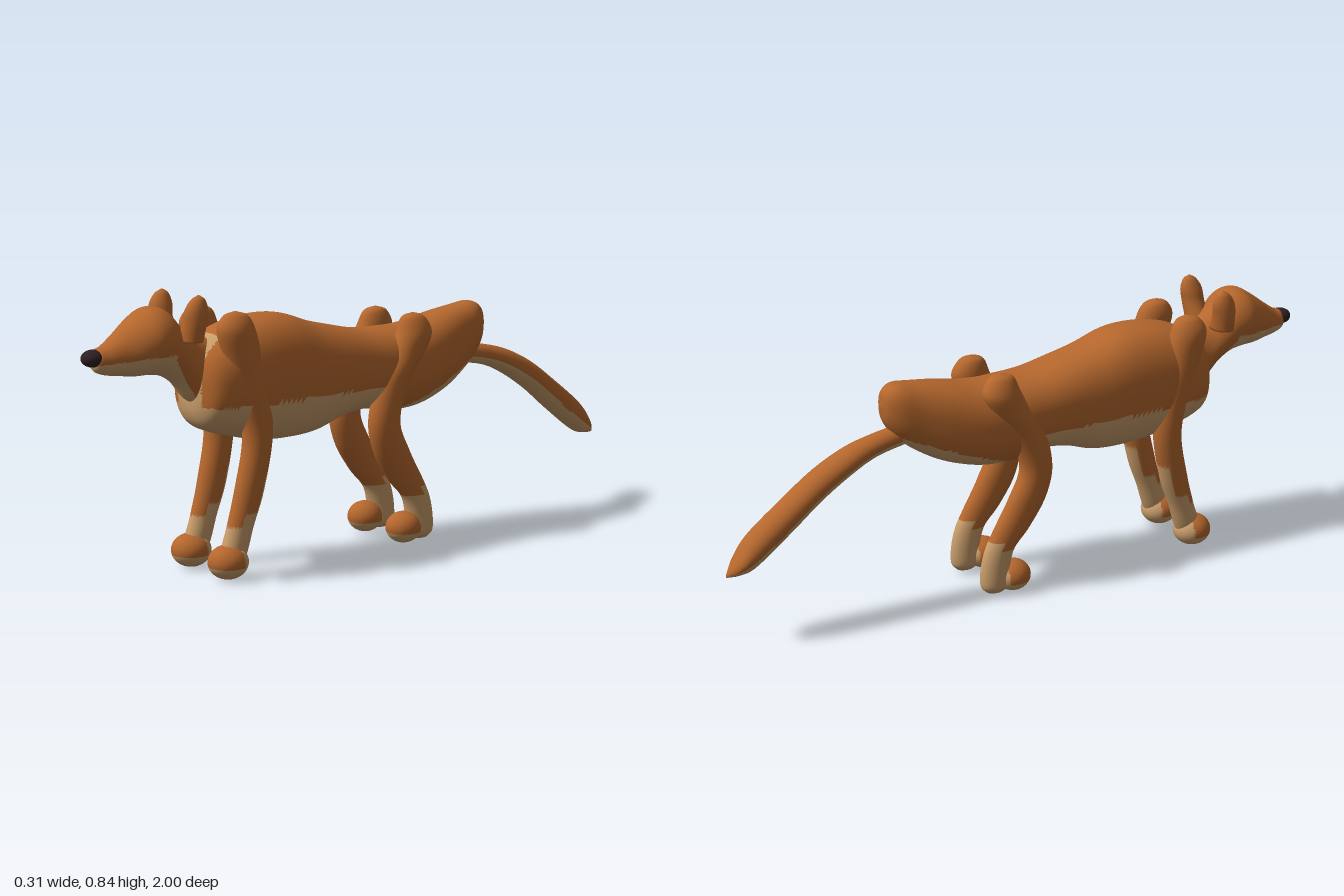
import * as THREE from 'three';

const material = (name, color) => {
  const m = new THREE.MeshStandardMaterial({ color });
  m.name = name;
  return m;
};

// Smooth skin through elliptical rings [x, y, z, radiusX, radiusOther], listed along +z or +y.
function loft(rows, axis, power = 2, steps = 90, sides = 64) {
  const centres = new THREE.CatmullRomCurve3(rows.map(r => new THREE.Vector3(r[0], r[1], r[2])), false, 'catmullrom', 0.5);
  const radii = new THREE.CatmullRomCurve3(rows.map(r => new THREE.Vector3(r[3], r[4], 0)), false, 'catmullrom', 0.5);
  const bend = v => Math.sign(v) * Math.abs(v) ** (2 / power);
  const pos = [], index = [];
  for (let i = 0; i <= steps; i++) {
    const c = centres.getPoint(i / steps), r = radii.getPoint(i / steps);
    for (let j = 0; j < sides; j++) {
      const a = j / sides * Math.PI * 2;
      const u = bend(Math.cos(a)) * Math.max(r.x, 0.001);
      const v = bend(Math.sin(a)) * Math.max(r.y, 0.001);
      if (axis === 'z') pos.push(c.x + u, c.y + v, c.z);
      else pos.push(c.x + u, c.y, c.z - v);
      if (i < steps) {
        const p = i * sides + j, q = i * sides + (j + 1) % sides;
        index.push(p, q, p + sides, q, q + sides, p + sides);
      }
    }
  }
  // close both ends
  const first = rows[0], last = rows[rows.length - 1], n = (steps + 1) * sides;
  pos.push(...first.slice(0, 3), ...last.slice(0, 3));
  for (let j = 0; j < sides; j++) {
    const k = (j + 1) % sides, top = steps * sides;
    index.push(n, k, j, n + 1, top + j, top + k);
  }
  const g = new THREE.BufferGeometry();
  g.setAttribute('position', new THREE.Float32BufferAttribute(pos, 3));
  g.setIndex(index);
  g.computeVertexNormals();
  return g;
}

function ellipsoid(x, y, z, rx, ry, rz) {
  return new THREE.SphereGeometry(1, 40, 28).scale(rx, ry, rz).translate(x, y, z);
}

// Sort the faces into two groups: fur where the rule is false, pale fur where it is true.
function paint(g, isPale) {
  const p = g.attributes.position, idx = g.index.array, sets = [[], []];
  const t = new THREE.Triangle(), mid = new THREE.Vector3(), normal = new THREE.Vector3();
  for (let i = 0; i < idx.length; i += 3) {
    t.setFromAttributeAndIndices(p, idx[i], idx[i + 1], idx[i + 2]);
    t.getMidpoint(mid);
    t.getNormal(normal);
    sets[isPale(mid, normal) ? 1 : 0].push(idx[i], idx[i + 1], idx[i + 2]);
  }
  g.setIndex([...sets[0], ...sets[1]]);
  g.clearGroups();
  g.addGroup(0, sets[0].length, 0);
  g.addGroup(sets[0].length, sets[1].length, 1);
  return g;
}

export function createModel() {
  const fur = material('russetFur', 0xb5672d);
  const pale = material('paleFur', 0xc89c6a);
  const dark = material('darkNose', 0x2e2023);
  const model = new THREE.Group();
  model.name = 'fox';
  const add = (name, geometry, mat, parent = model) => {
    const m = new THREE.Mesh(geometry, mat);
    m.name = name;
    parent.add(m);
  };
  const coat = [fur, pale];

  // Body, rump to chest
  const body = loft([
    [0, 0.655, -0.485, 0.004, 0.004], [0, 0.652, -0.475, 0.035, 0.05], [0, 0.637, -0.44, 0.062, 0.085],
    [0, 0.608, -0.38, 0.08, 0.107], [0, 0.575, -0.29, 0.105, 0.125], [0, 0.547, -0.18, 0.127, 0.13],
    [0, 0.543, -0.08, 0.131, 0.13], [0, 0.553, 0.02, 0.13, 0.124], [0, 0.557, 0.12, 0.132, 0.14],
    [0, 0.553, 0.22, 0.136, 0.168], [0, 0.565, 0.32, 0.139, 0.188], [0, 0.57, 0.42, 0.141, 0.186],
    [0, 0.572, 0.52, 0.138, 0.165], [0, 0.567, 0.58, 0.128, 0.142], [0, 0.562, 0.62, 0.105, 0.115],
    [0, 0.56, 0.64, 0.06, 0.07], [0, 0.56, 0.643, 0.004, 0.004],
  ], 'z', 2.4);
  add('body', paint(body, (p, n) => {
    const line = p.z > -0.03 ? 0.51 : 0.43 + Math.max(0, -0.1 - p.z) * 0.38;
    return p.y < line || (p.z > 0.57 && Math.abs(p.x) < 0.06 && n.z > 0.3);
  }), coat);

  // Neck, skull and muzzle
  const head = loft([
    [0, 0.61, 0.56, 0.06, 0.09], [0, 0.62, 0.64, 0.065, 0.1], [0, 0.665, 0.69, 0.08, 0.09],
    [0, 0.703, 0.735, 0.093, 0.098], [0, 0.713, 0.785, 0.098, 0.097], [0, 0.7, 0.835, 0.083, 0.083],
    [0, 0.685, 0.885, 0.057, 0.062], [0, 0.673, 0.93, 0.041, 0.043], [0, 0.673, 0.96, 0.03, 0.03],
    [0, 0.673, 0.97, 0.004, 0.004],
  ], 'z');
  add('head', paint(head, (p, n) => {
    if (p.z < 0.74) return n.y < 0.25 && p.y < 0.52 + (p.z - 0.63) * 1.3;
    return p.y < 0.655 + 0.25 * Math.abs(p.x);
  }), coat);
  add('nose', ellipsoid(0, 0.681, 0.965, 0.033, 0.025, 0.035), dark);

  // Tail, tip to root
  const tail = loft([
    [0, 0.23, -1, 0.004, 0.004], [0, 0.258, -0.965, 0.036, 0.03], [0, 0.295, -0.915, 0.049, 0.053],
    [0, 0.38, -0.8, 0.05, 0.055], [0, 0.453, -0.7, 0.049, 0.05], [0, 0.508, -0.6, 0.046, 0.042],
    [0, 0.54, -0.51, 0.037, 0.034], [0, 0.56, -0.4, 0.032, 0.032],
  ], 'z');
  add('tail', paint(tail, (p, n) => n.y < -0.3), coat);

  for (const [side, s] of [['left', 1], ['right', -1]]) {
    // Ear, drawn to a blunt point
    const ear = loft([
      [s * 0.07, 0.71, 0.685, 0.045, 0.035], [s * 0.085, 0.76, 0.68, 0.037, 0.036],
      [s * 0.09, 0.8, 0.675, 0.03, 0.036], [s * 0.092, 0.83, 0.67, 0.018, 0.022],
      [s * 0.092, 0.843, 0.668, 0.003, 0.003],
    ], 'y', 2, 30, 32);
    add(side + 'Ear', ear, fur);

    // Front leg with its shoulder
    const front = new THREE.Group();
    front.name = side + 'FrontLeg';
    model.add(front);
    const frontLeg = loft([
      [s * 0.093, 0.012, 0.565, 0.015, 0.02], [s * 0.093, 0.07, 0.557, 0.033, 0.042],
      [s * 0.093, 0.15, 0.532, 0.034, 0.043], [s * 0.094, 0.25, 0.5, 0.038, 0.047],
      [s * 0.097, 0.4, 0.47, 0.042, 0.046], [s * 0.1, 0.52, 0.483, 0.042, 0.052],
      [s * 0.099, 0.65, 0.52, 0.044, 0.06], [s * 0.095, 0.73, 0.54, 0.047, 0.061],
      [s * 0.091, 0.772, 0.54, 0.03, 0.04], [s * 0.09, 0.786, 0.54, 0.003, 0.003],
    ], 'y');
    add('limb', paint(frontLeg, (p, n) => p.y < 0.155 || (n.z < -0.45 && p.y < 0.3) || (n.z < 0.3 && p.y < 0.19)), coat, front);
    add('paw', paint(ellipsoid(s * 0.094, 0.051, 0.577, 0.06, 0.051, 0.061),
      p => p.y < 0.04 || p.z < 0.555), coat, front);

    // Hind leg with its hip and hock
    const hind = new THREE.Group();
    hind.name = side + 'HindLeg';
    model.add(hind);
    const hindLeg = loft([
      [s * 0.094, 0.012, -0.155, 0.02, 0.03], [s * 0.094, 0.035, -0.155, 0.036, 0.048],
      [s * 0.094, 0.09, -0.154, 0.036, 0.048], [s * 0.094, 0.15, -0.138, 0.034, 0.05],
      [s * 0.094, 0.21, -0.096, 0.036, 0.062], [s * 0.095, 0.3, -0.042, 0.04, 0.064],
      [s * 0.097, 0.4, -0.012, 0.043, 0.053], [s * 0.1, 0.52, -0.045, 0.042, 0.058],
      [s * 0.099, 0.6, -0.1, 0.044, 0.062], [s * 0.095, 0.66, -0.13, 0.047, 0.062],
      [s * 0.091, 0.708, -0.13, 0.03, 0.04], [s * 0.09, 0.722, -0.13, 0.003, 0.003],
    ], 'y');
    add('limb', paint(hindLeg, (p, n) => p.y < 0.155 || (n.z < -0.2 && p.y < 0.18)), coat, hind);
    add('paw', paint(ellipsoid(s * 0.094, 0.053, -0.093, 0.055, 0.049, 0.057),
      p => p.y < 0.04 || p.z < -0.125), coat, hind);
  }
  return model;
}
